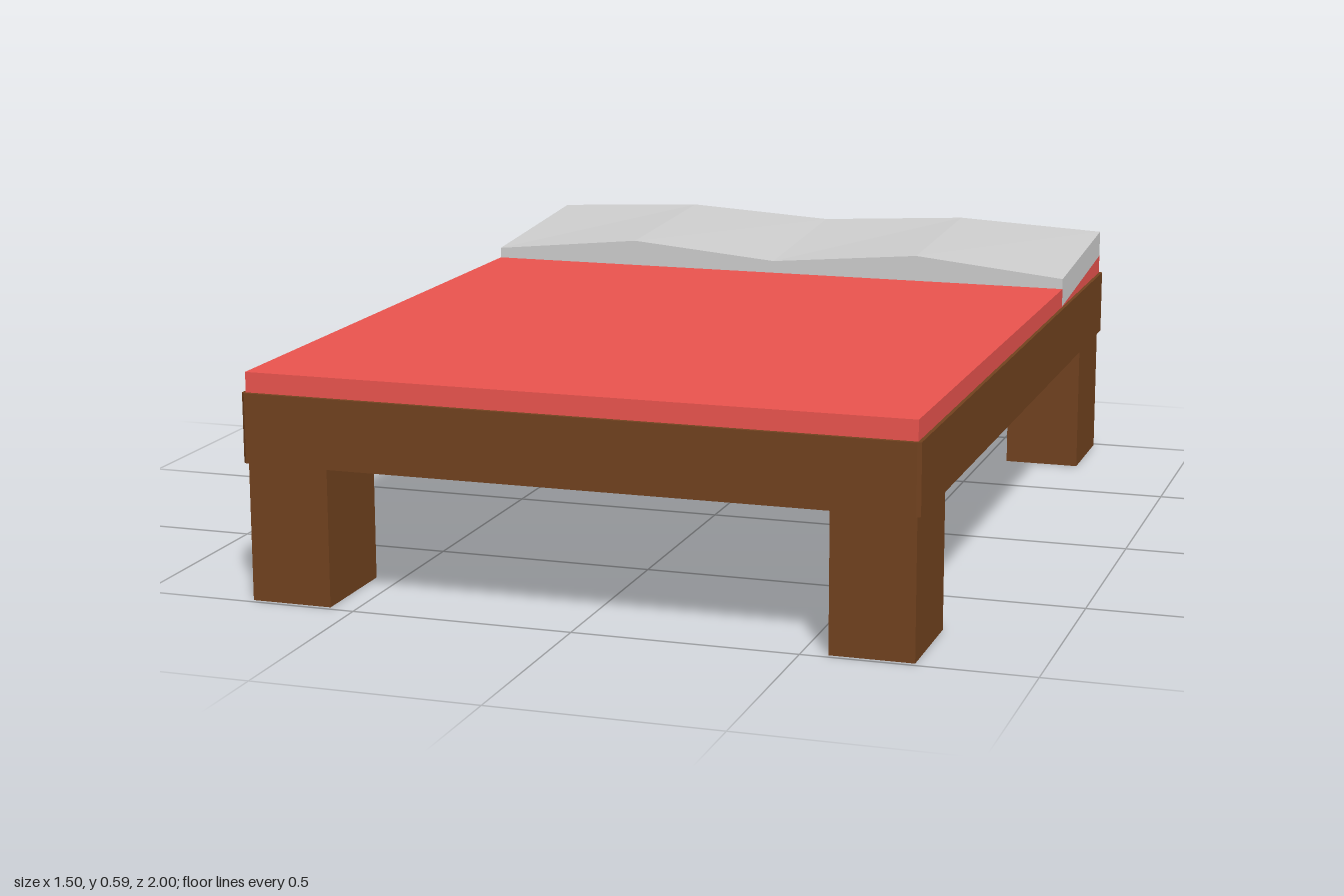
import * as THREE from 'three';

const mat = (color) => new THREE.MeshStandardMaterial({ color, flatShading: true });
const shapeOf = (pts) => new THREE.Shape(pts.map(([x, y]) => new THREE.Vector2(x, y)));

// Loft four-cornered cross-sections along x, with closed ends
function loft(rings) {
  const positions = rings.flat(2);
  const index = [0, 1, 2, 0, 2, 3];
  for (let i = 0; i < rings.length - 1; i++) {
    for (let j = 0; j < 4; j++) {
      const k = (j + 1) % 4;
      const a = i * 4 + j, b = i * 4 + k;
      index.push(a, a + 4, b + 4, a, b + 4, b);
    }
  }
  const e = (rings.length - 1) * 4;
  index.push(e, e + 2, e + 1, e, e + 3, e + 2);
  const geo = new THREE.BufferGeometry();
  geo.setAttribute('position', new THREE.Float32BufferAttribute(positions, 3));
  geo.setIndex(index);
  const flat = geo.toNonIndexed();
  flat.computeVertexNormals();
  return flat;
}

export function createModel() {
  const bed = new THREE.Group();
  bed.name = 'bed';
  const wood = mat(0x70411e);
  const add = (name, geo, material) => {
    const mesh = new THREE.Mesh(geo, material);
    mesh.name = name;
    bed.add(mesh);
    return mesh;
  };

  // Solid frame slab with slightly cut corners
  const w = 0.75, l = 1, c = 0.008;
  const outline = shapeOf([
    [w - c, -l], [w, -l + c], [w, l - c], [w - c, l],
    [-w + c, l], [-w, l - c], [-w, -l + c], [-w + c, -l],
  ]);
  const frame = new THREE.ExtrudeGeometry(outline, { depth: 0.155, bevelEnabled: false });
  frame.rotateX(-Math.PI / 2).translate(0, 0.31, 0);
  add('frame', frame, wood);

  // Four block legs
  for (const sx of [-1, 1]) {
    for (const sz of [-1, 1]) {
      const leg = add((sz > 0 ? 'front' : 'back') + (sx > 0 ? 'Left' : 'Right') + 'Leg',
        new THREE.BoxGeometry(0.183, 0.31, 0.243), wood);
      leg.position.set(sx * 0.65, 0.155, sz * 0.866);
    }
  }

  // Mattress, cut on a slope where the pillow lies
  const side = shapeOf([
    [0.99, 0.465], [0.99, 0.51], [-0.49, 0.51], [-0.49, 0.466], [-0.99, 0.51], [-0.99, 0.465],
  ]);
  const mattress = new THREE.ExtrudeGeometry(side, { depth: 1.484, bevelEnabled: false });
  mattress.rotateY(-Math.PI / 2).translate(0.742, 0, 0);
  add('mattress', mattress, mat(0xe8534d));

  // Tilted pillow with two humps: x, front height, back height
  const stations = [
    [-0.742, 0.535, 0.573], [-0.371, 0.573, 0.592], [0, 0.54, 0.57],
    [0.371, 0.573, 0.592], [0.742, 0.535, 0.573],
  ];
  const rings = stations.map(([x, front, back]) => [
    [x, 0.466, -0.49], [x, front, -0.49], [x, back, -0.99], [x, 0.51, -0.99],
  ]);
  add('pillow', loft(rings), mat(0xcccccc));

  return bed;
}
